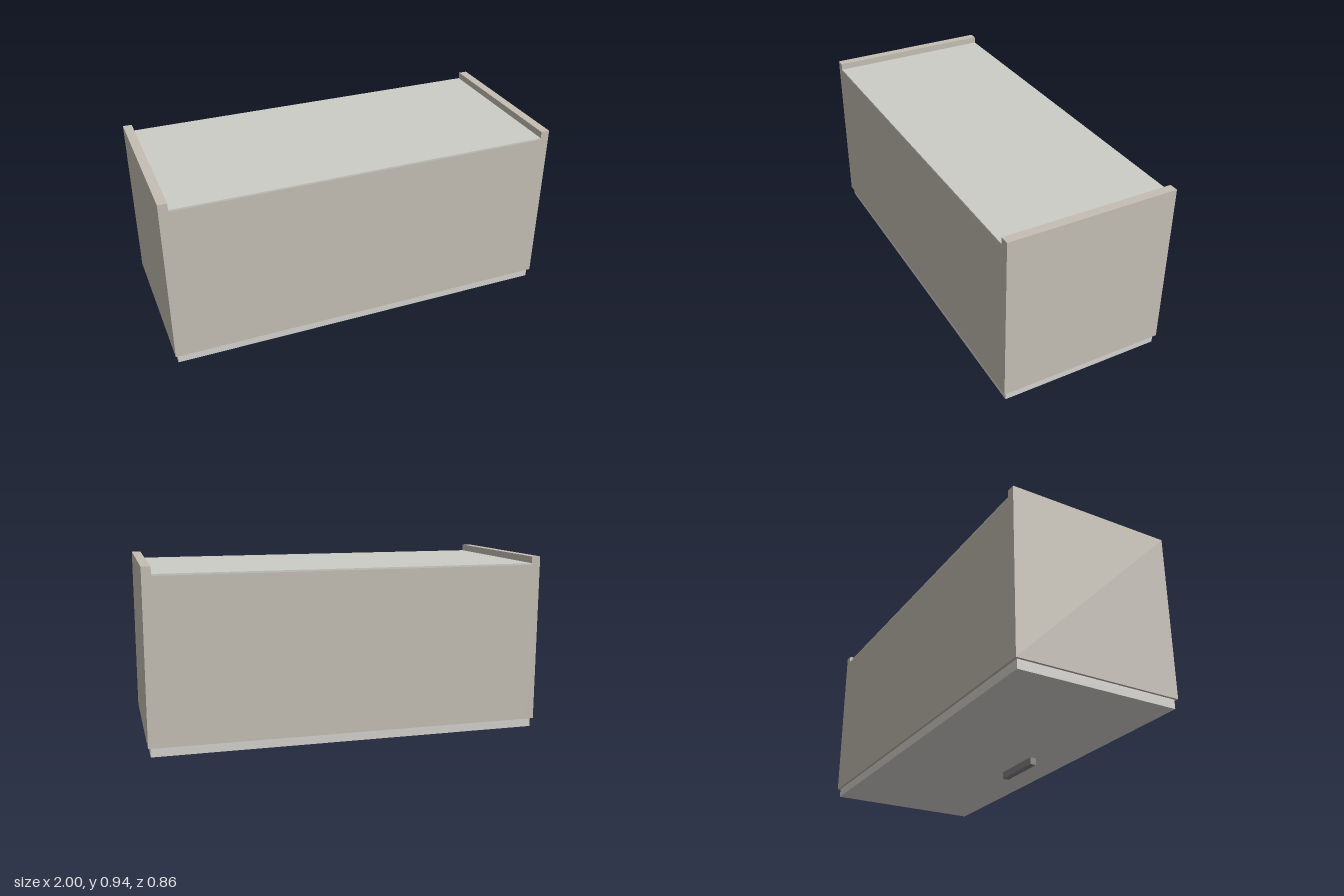
import * as THREE from 'three';

export function createModel() {
  const group = new THREE.Group();
  const mat = (color) => new THREE.MeshStandardMaterial({ color });
  const carcass = mat(0xc4beb4);
  const door = mat(0xd4d2ce);
  const back = mat(0xcdcdc8);
  const metal = mat(0x808084);

  // Box given by its extents on each axis
  const board = (name, material, [x0, x1], [y0, y1], [z0, z1]) => {
    const mesh = new THREE.Mesh(new THREE.BoxGeometry(x1 - x0, y1 - y0, z1 - z0), material);
    mesh.position.set((x0 + x1) / 2, (y0 + y1) / 2, (z0 + z1) / 2);
    mesh.name = name;
    group.add(mesh);
  };

  const W = 1, D = 0.428, T = 0.045;
  const inner = W - T;
  const bottom = 0.083, top = 0.939, panelTop = 0.905, panelBottom = 0.896;

  // Side boards, standing proud of the recessed panel
  board('leftSide', carcass, [inner, W], [bottom, top], [-D, D]);
  board('rightSide', carcass, [-W, -inner], [bottom, top], [-D, D]);

  // Long boards between the sides
  board('frontBoard', carcass, [-inner, inner], [bottom, panelBottom], [D - T, D]);
  board('rearBoard', carcass, [-inner, inner], [bottom, panelBottom], [-D, -D + T]);

  // Thin panel closing the box
  board('thinPanel', back, [-inner, inner], [panelBottom, panelTop], [-D, D]);

  // Door on the underside with its bar handle
  board('door', door, [-0.988, 0.988], [0.037, bottom], [-0.416, 0.416]);
  board('handle', metal, [-0.137, 0.137], [0, 0.037], [0.19, 0.223]);

  return group;
}
